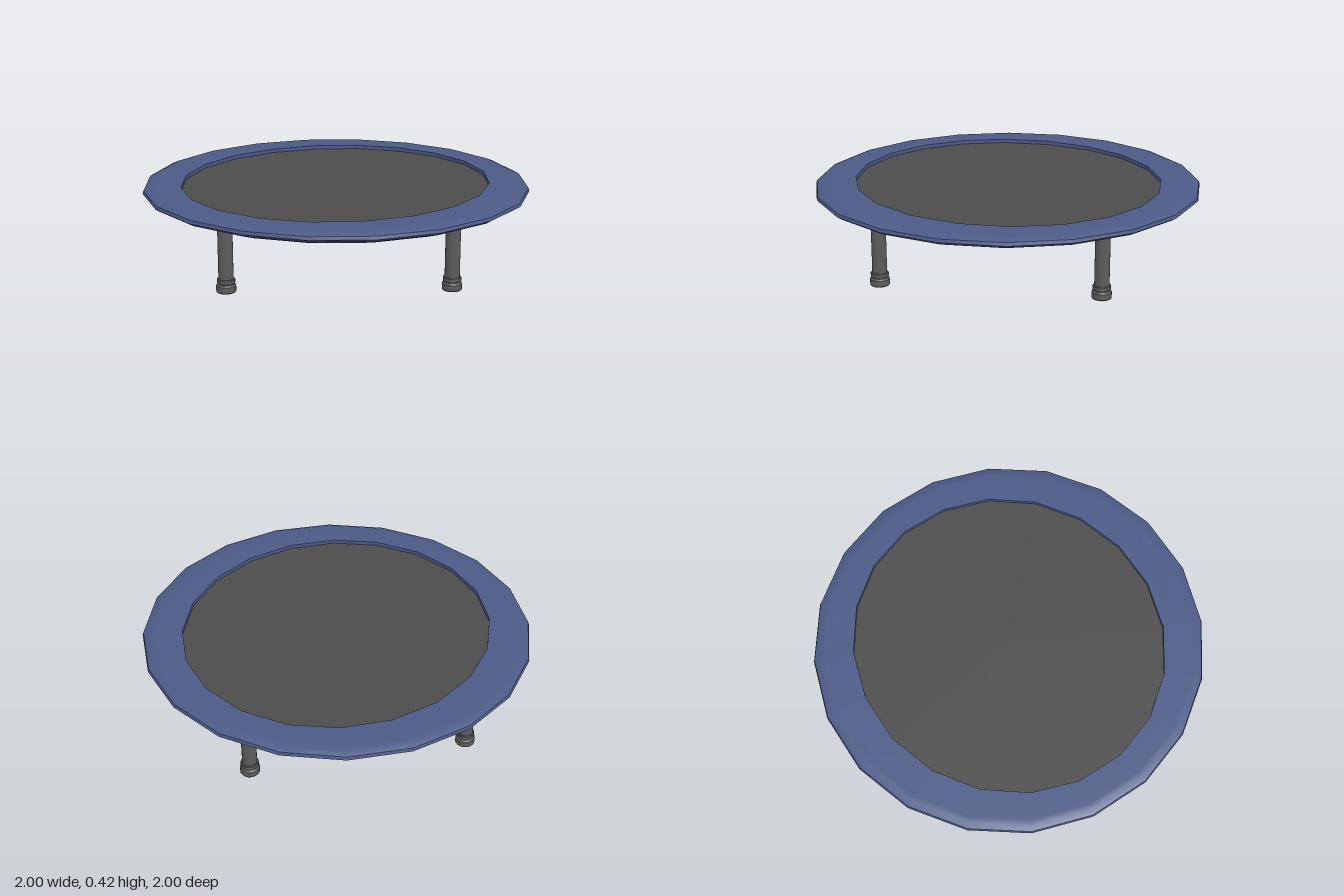
import * as THREE from 'three';
import { toCreasedNormals } from 'three/addons/utils/BufferGeometryUtils.js';

const SIDES = 20;
const MAT_X = 0.82, MAT_Z = 0.78;

const pts = (list) => list.map(([r, y]) => new THREE.Vector2(r, y));
const material = (color) => new THREE.MeshStandardMaterial({ color });

function addMesh(parent, name, geometry, mat) {
  const mesh = new THREE.Mesh(geometry, mat);
  mesh.name = name;
  parent.add(mesh);
  return mesh;
}

export function createModel() {
  const group = new THREE.Group();
  group.name = 'trampoline';
  const blue = material(0x4b5a86);
  const dark = material(0x4c4c4c);
  const steel = material(0x5c5c5c);

  // Padded rim with closed underside; the opening is slightly oval
  const rim = new THREE.LatheGeometry(pts([
    [0, 0.34], [0.84, 0.34], [0.885, 0.342], [0.975, 0.374], [1, 0.39],
    [0.995, 0.406], [0.965, 0.419], [0.94, 0.42], [MAT_X, 0.42], [MAT_X, 0.395],
  ]), SIDES);
  const p = rim.attributes.position;
  for (let i = 0; i < p.count; i++) {
    if (p.getY(i) > 0.39 && Math.hypot(p.getX(i), p.getZ(i)) < MAT_X + 0.01) {
      p.setZ(i, p.getZ(i) * MAT_Z / MAT_X);
    }
  }
  addMesh(group, 'paddedRim', toCreasedNormals(rim, Math.PI / 4), blue);

  // Jumping mat, sunk a little below the rim
  const mat = new THREE.CircleGeometry(1, SIDES);
  mat.scale(MAT_X, MAT_Z, 1);
  mat.rotateX(-Math.PI / 2);
  addMesh(group, 'jumpingMat', mat, dark).position.y = 0.4;

  // Four legs, each with a rubber foot and a collar
  const tube = new THREE.CylinderGeometry(0.037, 0.037, 0.29, 20, 1, true);
  const foot = toCreasedNormals(new THREE.LatheGeometry(pts([
    [0, 0], [0.046, 0], [0.049, 0.004], [0.049, 0.034], [0.046, 0.038],
    [0.041, 0.042], [0.041, 0.045], [0.045, 0.048], [0.045, 0.064],
    [0.042, 0.068], [0.036, 0.068],
  ]), 20), Math.PI / 5);
  for (let i = 0; i < 4; i++) {
    const a = i * Math.PI / 2;
    const leg = new THREE.Group();
    leg.name = 'leg';
    leg.position.set(0.78 * Math.cos(a), 0, 0.78 * Math.sin(a));
    addMesh(leg, 'legTube', tube, steel).position.y = 0.2;
    addMesh(leg, 'foot', foot, steel);
    group.add(leg);
  }
  return group;
}
